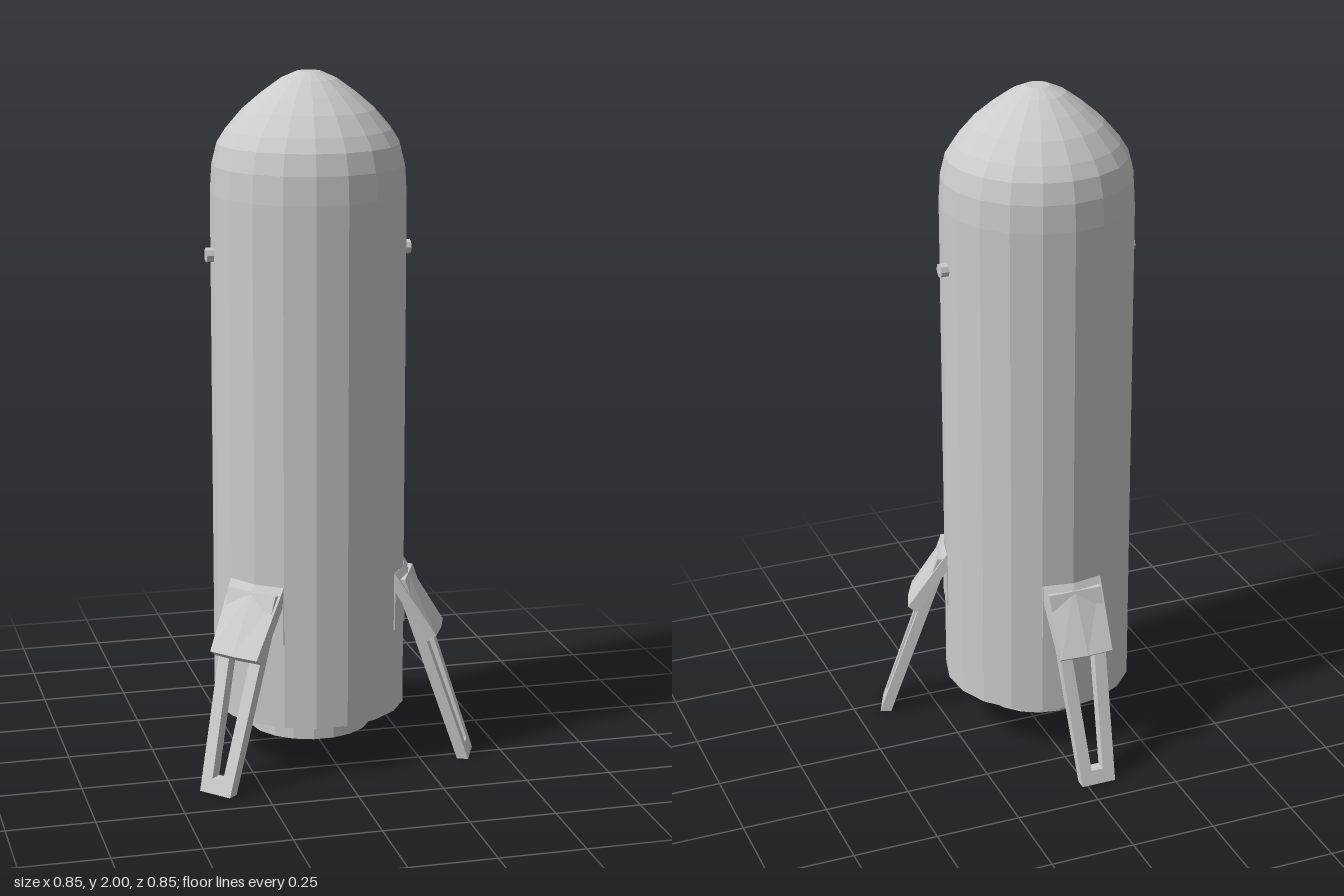
import * as THREE from 'three';

const SIDES = 19;
const STEP = (Math.PI * 2) / SIDES;
const R = 0.28;
const material = new THREE.MeshStandardMaterial({ color: 0xcccccc, flatShading: true });

function part(name, geometry, parent) {
  const mesh = new THREE.Mesh(geometry, material);
  mesh.name = name;
  parent.add(mesh);
  return mesh;
}

// Revolved profile with a corner facing the back
function turned(name, profile, parent) {
  const points = profile.map(([r, y]) => new THREE.Vector2(r, y));
  part(name, new THREE.LatheGeometry(points, SIDES), parent).rotation.y = Math.PI;
}

// Six-point section folded along its middle: outer edge left to right, inner edge back
function foldedSection(halfWidth, outer, fold, outerY, inner, innerY) {
  return [
    [-halfWidth, outerY, outer - fold], [0, outerY, outer], [halfWidth, outerY, outer - fold],
    [halfWidth, innerY, inner - fold], [0, innerY, inner], [-halfWidth, innerY, inner - fold],
  ];
}

// Solid between a bottom and a top section
function loft(bottom, top) {
  const index = [];
  const quad = (a, b, c, d) => index.push(a, b, c, a, c, d);
  for (let i = 0; i < 6; i++) {
    const j = (i + 1) % 6;
    quad(i, j, j + 6, i + 6);
  }
  quad(6, 7, 10, 11);
  quad(7, 8, 9, 10);
  quad(5, 4, 1, 0);
  quad(4, 3, 2, 1);
  const geometry = new THREE.BufferGeometry();
  geometry.setAttribute('position', new THREE.Float32BufferAttribute([...bottom, ...top].flat(), 3));
  geometry.setIndex(index);
  geometry.computeVertexNormals();
  return geometry;
}

// Tapered leg frame with a long opening, leaning outward towards the foot
function legFrame() {
  const outline = (points) => points.map(([x, y]) => new THREE.Vector2(x, y));
  const shape = new THREE.Shape(outline([[-0.052, 0], [0.052, 0], [0.082, 0.55], [-0.082, 0.55]]));
  shape.holes.push(new THREE.Path(outline([[-0.018, 0.04], [-0.042, 0.5], [0.042, 0.5], [0.018, 0.04]])));
  const geometry = new THREE.ExtrudeGeometry(shape, { depth: 0.033, bevelEnabled: false });
  const p = geometry.attributes.position;
  for (let i = 0; i < p.count; i++) p.setZ(i, p.getZ(i) + 0.45 - 0.34 * p.getY(i));
  geometry.computeVertexNormals();
  return geometry;
}

export function createModel() {
  const model = new THREE.Group();
  model.name = 'rocket';
  const rocket = new THREE.Group();
  rocket.name = 'rocketAssembly';
  rocket.position.set(-0.036, 0, 0.06);
  model.add(rocket);

  // Hull with rounded nose
  turned('hull', [
    [0.16, 0.15], [R, 0.15], [R, 1.66], [0.275, 1.74], [0.26, 1.8], [0.235, 1.84], [0.188, 1.895],
    [0.135, 1.94], [0.08, 1.98], [0.035, 2], [0, 2],
  ], rocket);

  // Hollow engine nozzle
  turned('nozzle', [[0, 0.2], [0.13, 0.2], [0.13, 0.08], [0.18, 0.08], [0.18, 0.15]], rocket);

  // Small pegs on both sides
  for (const side of [-1, 1]) {
    const peg = part(side > 0 ? 'leftPeg' : 'rightPeg', new THREE.CylinderGeometry(0.021, 0.021, 0.06, 8), rocket);
    peg.rotation.z = Math.PI / 2;
    peg.position.set(side * 0.269, 1.49, 0);
  }

  // Three landing legs, each centred on a hull corner
  const halfWidth = R * Math.sin(STEP);
  const fold = R * (1 - Math.cos(STEP));
  const frame = legFrame();
  const cover = loft(
    foldedSection(0.08, 0.393, 0.005, 0.385, 0.367, 0.366),
    foldedSection(halfWidth, R + 0.002, fold, 0.57, 0.258, 0.552),
  );
  const mount = loft(
    foldedSection(halfWidth, R + 0.004, fold, 0.4, R - 0.02, 0.4),
    foldedSection(halfWidth, R + 0.004, fold, 0.565, R - 0.02, 0.565),
  );
  for (let i = 0; i < 3; i++) {
    const leg = new THREE.Group();
    leg.name = ['backLeg', 'leftLeg', 'rightLeg'][i];
    leg.rotation.y = Math.PI - i * 6 * STEP;
    part('legFrame', frame, leg);
    part('legCover', cover, leg);
    part('legMount', mount, leg);
    rocket.add(leg);
  }
  return model;
}
